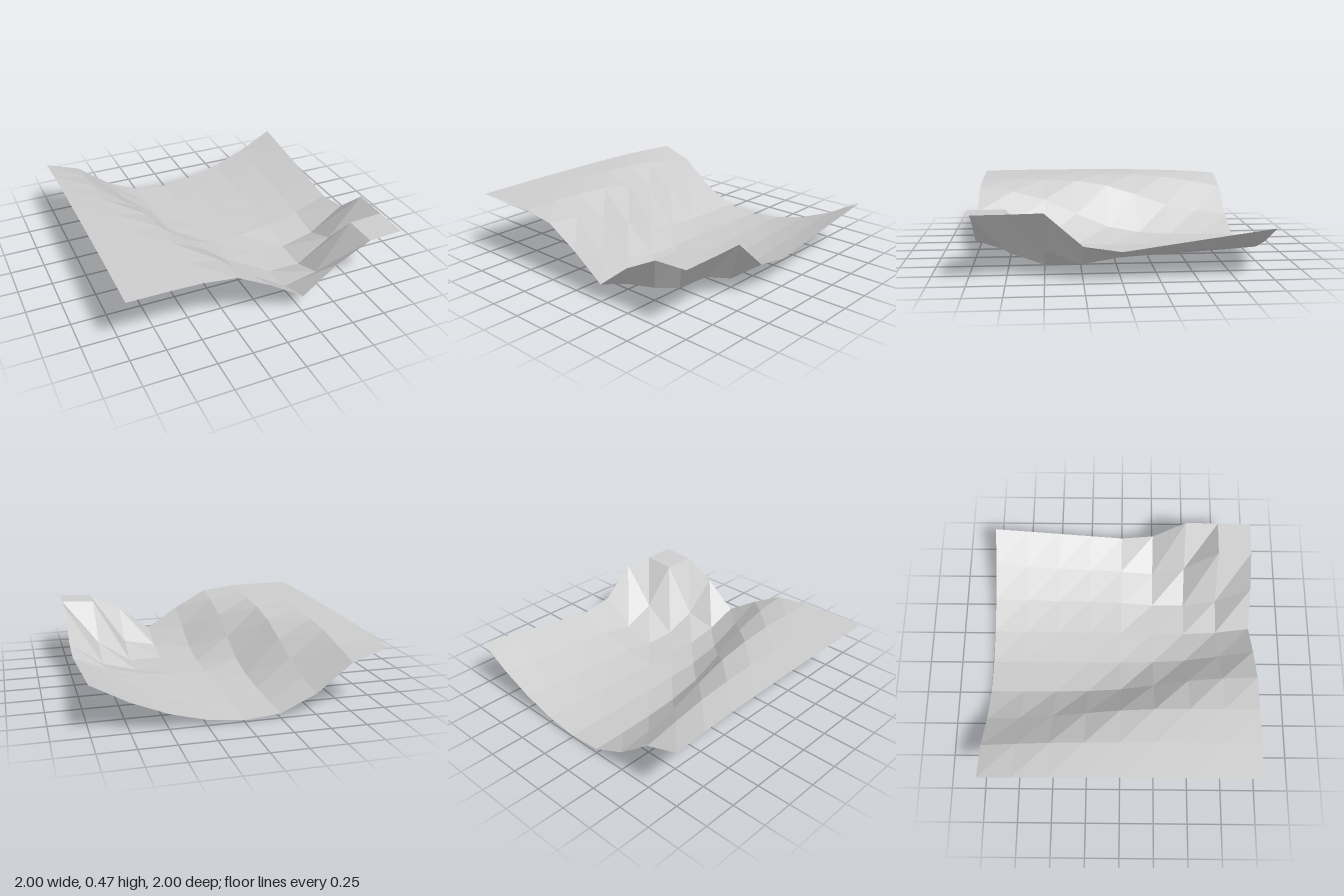
import * as THREE from 'three';

const CELLS = 8;

// Raised mound at the front corner: rows z = 0.25..1, columns x = 0.25..1
const MOUND = [
  [0.01, 0, 0.065, 0.245],
  [0.003, 0, 0.168, 0.465],
  [0.04, 0.092, 0.446, 0.46],
  [0.125, 0.317, 0.446, 0.458],
];

// Ground height: plateau falling over a slanting cliff to a valley, then a gentle far bank
function height(x, z) {
  if (x > 0.2 && z > 0.2) return MOUND[Math.round(z * 4) - 1][Math.round(x * 4) - 1];
  const middle = 1 - z * z;
  const cliffX = -0.36 + 0.33 * z + 0.095 * z * z;
  const cliffWidth = 0.13 - 0.05 * middle; // steepest halfway along
  const plateau = (0.452 + 0.01 * z) / (1 + Math.exp((x - cliffX) / cliffWidth));
  const bank = (0.2 - 0.14 * z) * Math.pow(Math.max(0, (x + 0.1) / 1.1), 3 + z);
  return plateau + bank + 0.003 + 0.012 * middle * (x < 0.9 ? 1 : 0.2);
}

export function createModel() {
  const group = new THREE.Group();
  group.name = 'terrainPatch';

  const stone = new THREE.MeshStandardMaterial({
    color: 0xcccccc, flatShading: true, side: THREE.DoubleSide,
  });
  stone.name = 'light grey stone';

  // Square sheet lifted by the height rule
  const geometry = new THREE.PlaneGeometry(2, 2, CELLS, CELLS).rotateX(-Math.PI / 2);
  const pos = geometry.attributes.position;
  for (let i = 0; i < pos.count; i++) pos.setY(i, height(pos.getX(i), pos.getZ(i)));

  // Split every cell from its back left corner to its front right corner
  const index = [];
  for (let row = 0; row < CELLS; row++) {
    for (let col = 0; col < CELLS; col++) {
      const a = row * (CELLS + 1) + col;
      const b = a + CELLS + 1;
      index.push(a, b, b + 1, a, b + 1, a + 1);
    }
  }
  geometry.setIndex(index);
  const faceted = geometry.toNonIndexed();
  faceted.computeVertexNormals();

  const ground = new THREE.Mesh(faceted, stone);
  ground.name = 'ground';
  group.add(ground);
  return group;
}
